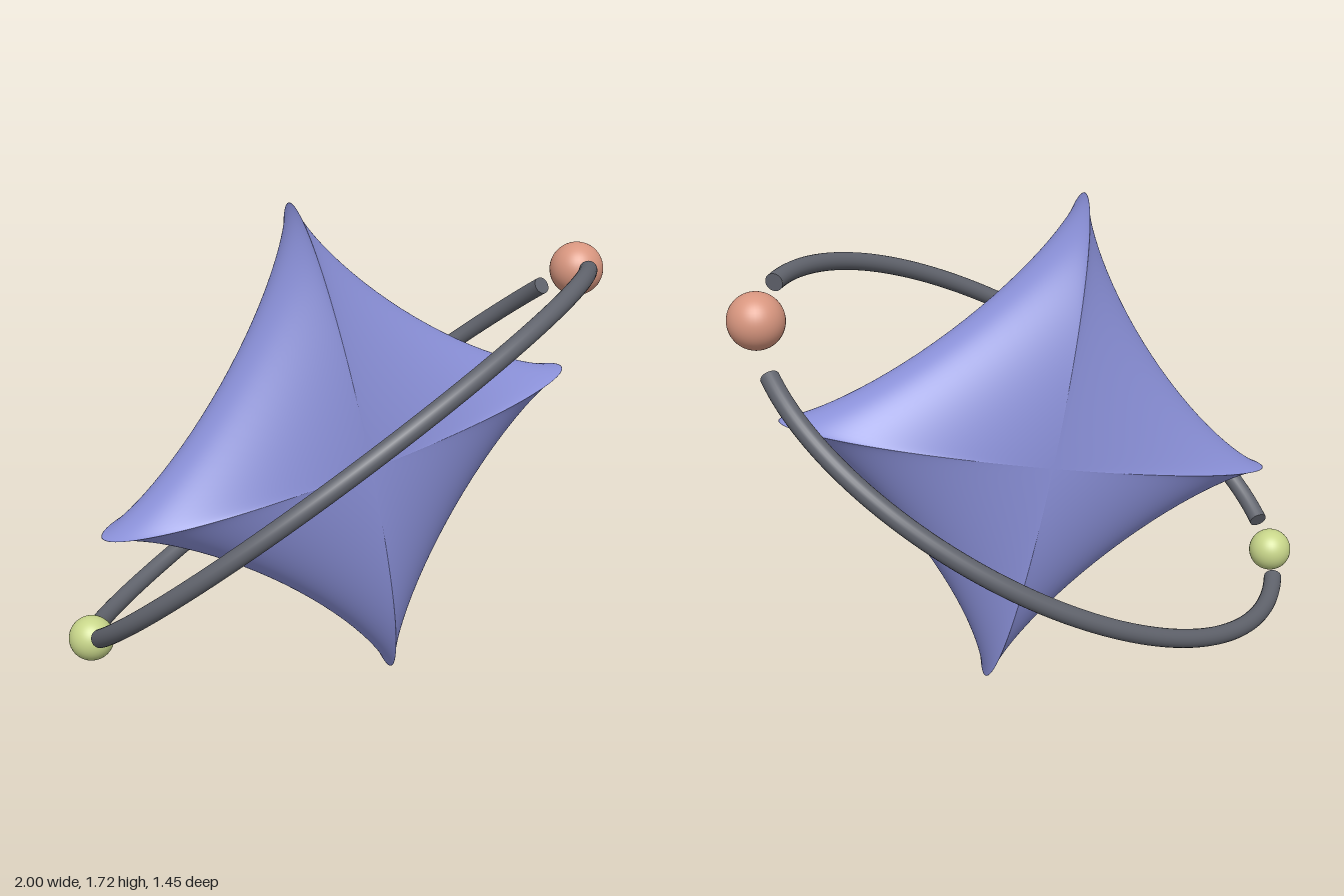
import * as THREE from 'three';
import { mergeVertices } from 'three/addons/utils/BufferGeometryUtils.js';

const CENTER = new THREE.Vector3(-0.01, 0.863, 0);
const rad = THREE.MathUtils.degToRad;

const mat = (name, color) => {
  const m = new THREE.MeshStandardMaterial({ color });
  m.name = name;
  return m;
};

// Tilted elliptical orbit: a is the long half axis (towards the balls), b the short one
const AXIS_A = new THREE.Vector3(Math.cos(rad(30)), Math.sin(rad(30)), 0).multiplyScalar(1.055);
const AXIS_B = new THREE.Vector3(-0.1525, 0.264, 0.695);

class OrbitArc extends THREE.Curve {
  constructor(start, end) {
    super();
    this.start = start;
    this.end = end;
  }
  getPoint(t, target = new THREE.Vector3()) {
    const angle = THREE.MathUtils.lerp(this.start, this.end, t);
    return target.copy(CENTER)
      .addScaledVector(AXIS_A, Math.cos(angle))
      .addScaledVector(AXIS_B, Math.sin(angle));
  }
}

// Four-pointed star: a sphere whose outline is pulled into a concave superellipse
function starGeometry(reach, depth, power) {
  const geo = new THREE.SphereGeometry(1, 128, 64).rotateX(Math.PI / 2);
  geo.deleteAttribute('uv');
  geo.deleteAttribute('normal');
  const pos = geo.attributes.position;
  const bend = (v) => Math.sign(v) * Math.abs(v) ** power;
  for (let i = 0; i < pos.count; i++) {
    const x = pos.getX(i), y = pos.getY(i);
    const r = Math.hypot(x, y) * reach;
    const angle = Math.atan2(y, x);
    pos.setXYZ(i, r * bend(Math.cos(angle)), r * bend(Math.sin(angle)), pos.getZ(i) * depth);
  }
  const merged = mergeVertices(geo, 1e-5);
  merged.computeVertexNormals();
  return merged;
}

export function createModel() {
  const model = new THREE.Group();
  model.name = 'orbitedStar';

  const blue = mat('periwinkle', 0x8a90d8);
  const grey = mat('slateGrey', 0x60636c);
  const coral = mat('coral', 0xd8967f);
  const lime = mat('paleLime', 0xc8d68a);

  const add = (name, geometry, material, parent = model) => {
    const mesh = new THREE.Mesh(geometry, material);
    mesh.name = name;
    parent.add(mesh);
    return mesh;
  };

  // Star body
  const star = add('star', starGeometry(0.881, 0.23, 2.58), blue);
  star.position.copy(CENTER);
  star.rotation.z = rad(11.9);

  // Two orbit arcs with flat end caps, leaving gaps around the balls
  const tubeRadius = 0.031;
  const arcs = [
    ['frontArc', rad(18.6), rad(180 - 11.1)],
    ['backArc', rad(180 + 11.1), rad(360 - 18.6)],
  ];
  for (const [name, start, end] of arcs) {
    const arc = new THREE.Group();
    arc.name = name;
    model.add(arc);
    const curve = new OrbitArc(start, end);
    add('tube', new THREE.TubeGeometry(curve, 96, tubeRadius, 20), grey, arc);
    for (const t of [0, 1]) {
      const cap = add('endCap', new THREE.CircleGeometry(tubeRadius, 20), grey, arc);
      const outward = curve.getTangent(t).multiplyScalar(t ? 1 : -1);
      cap.position.copy(curve.getPoint(t));
      cap.quaternion.setFromUnitVectors(new THREE.Vector3(0, 0, 1), outward);
    }
  }

  // Balls in the gaps
  add('largeBall', new THREE.SphereGeometry(0.094, 40, 28), coral).position.set(0.905, 1.392, 0);
  add('smallBall', new THREE.SphereGeometry(0.075, 40, 28), lime).position.set(-0.925, 0.338, 0);

  return model;
}
